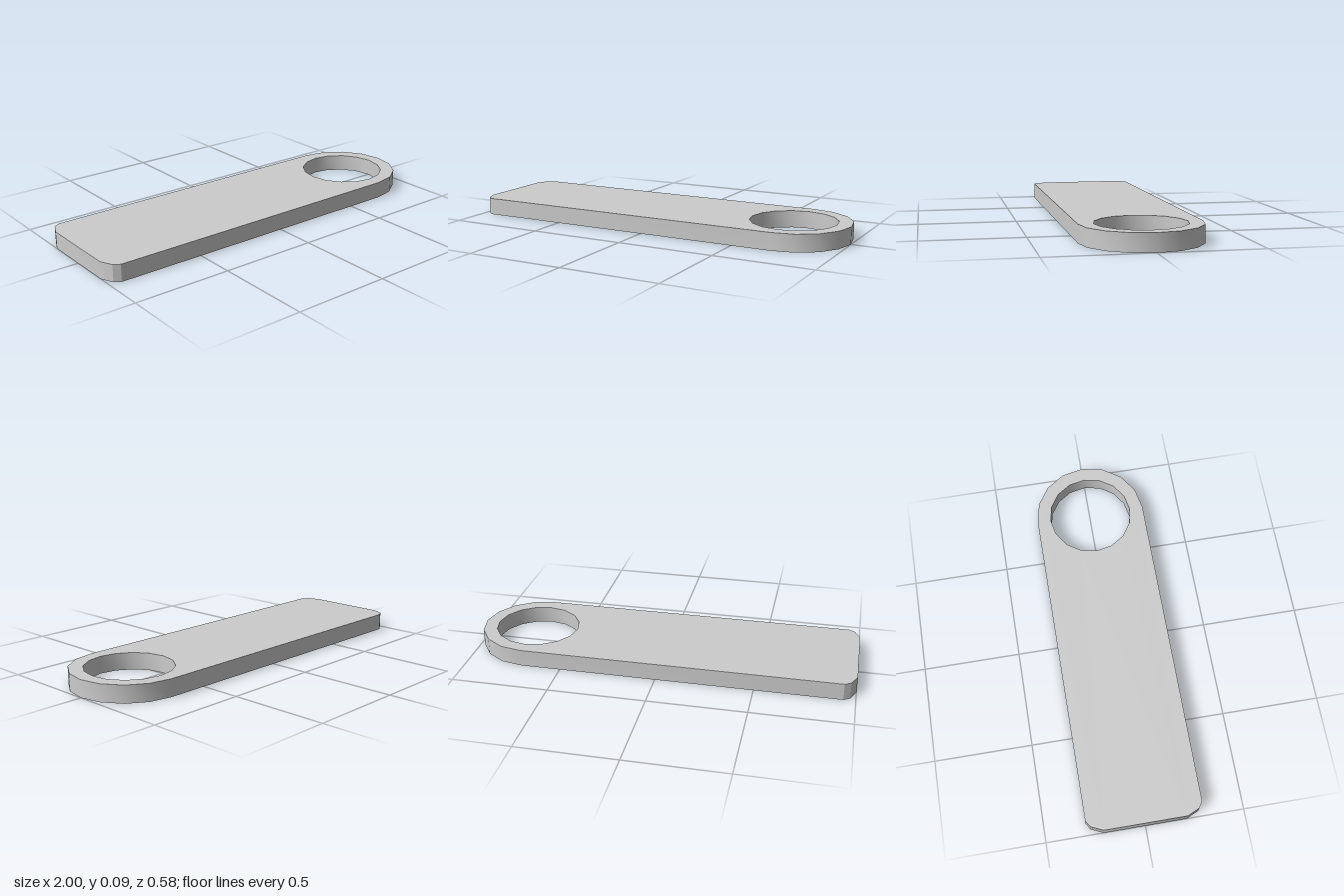
import * as THREE from 'three';
import { toCreasedNormals } from 'three/addons/utils/BufferGeometryUtils.js';

const THICKNESS = 0.088;
const HALF_WIDTH = 0.292;
const HOLE_RADIUS = 0.22;
const HOLE_X = 1 - HALF_WIDTH;

// Points on an arc around the hole centre, in steps of a 16-sided circle
function arc(radius, start, count) {
  return Array.from({ length: count }, (_, i) => {
    const a = start + (i * Math.PI) / 8;
    return new THREE.Vector2(HOLE_X + radius * Math.cos(a), radius * Math.sin(a));
  });
}

export function createModel() {
  const group = new THREE.Group();
  group.name = 'tagPlate';

  // Clipped corner at the square end, mirrored for the other side
  const corner = [[-0.94, HALF_WIDTH], [-0.972, 0.272], [-1, 0.21]]
    .map(([x, y]) => new THREE.Vector2(x, y));
  const mirrored = corner.map((p) => new THREE.Vector2(p.x, -p.y)).reverse();

  // Outline: rounded end, then the two clipped corners
  const outline = new THREE.Shape([...arc(HALF_WIDTH, -Math.PI / 2, 9), ...corner, ...mirrored]);

  // Round through hole
  outline.holes.push(new THREE.Path(arc(HOLE_RADIUS, 0, 16).reverse()));

  // Flat plate, laid down on the ground
  const geometry = new THREE.ExtrudeGeometry(outline, { depth: THICKNESS, bevelEnabled: false });
  geometry.rotateX(-Math.PI / 2);

  const plate = new THREE.Mesh(
    toCreasedNormals(geometry, 0.53),
    new THREE.MeshStandardMaterial({ color: 0xcccccc })
  );
  plate.name = 'plate';
  group.add(plate);
  return group;
}
